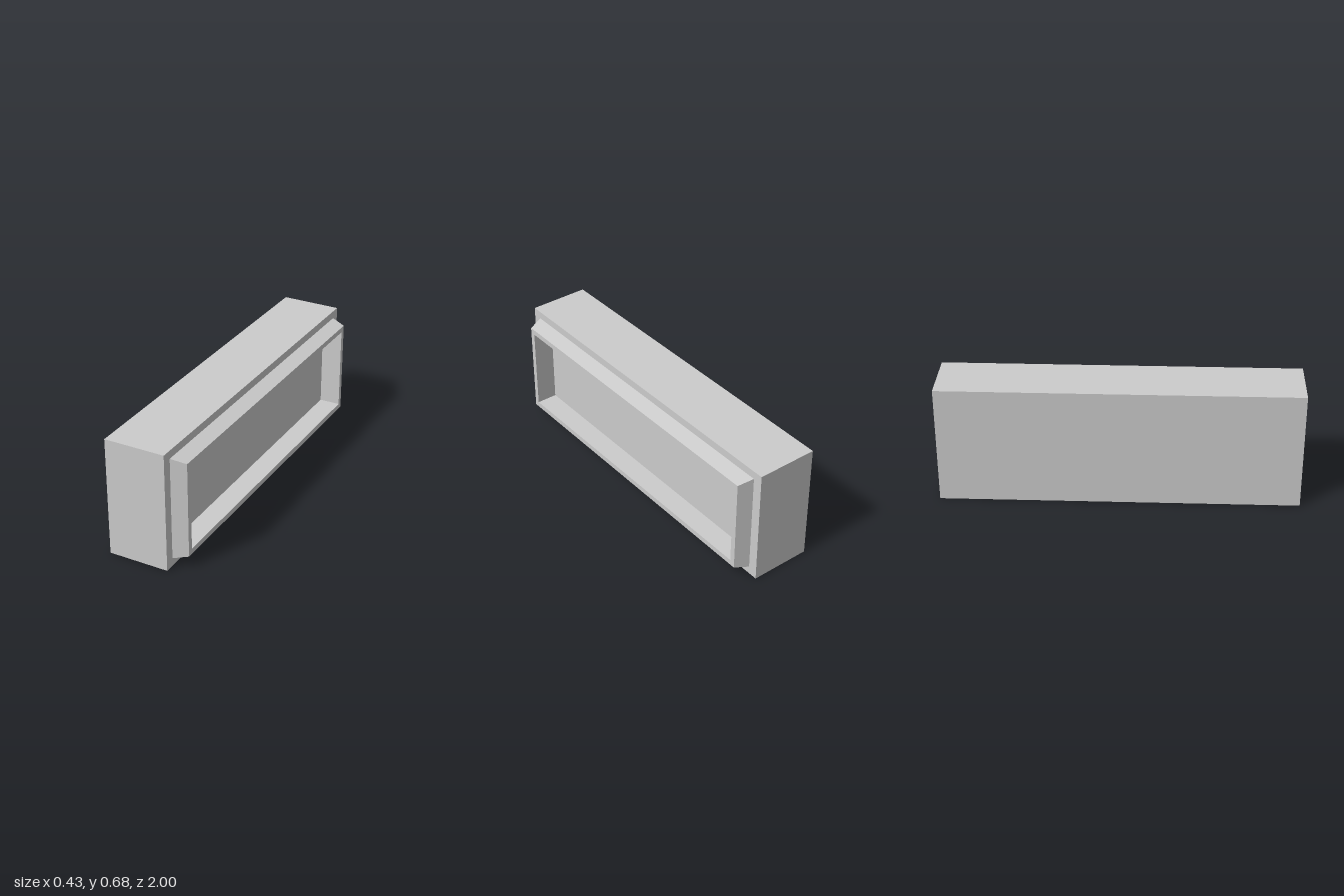
import * as THREE from 'three';

const CENTER_Y = 0.338;

// Corners of a rectangle facing +x, counter-clockwise seen from +x
function corners([x, halfY, halfZ]) {
  return [[-1, 1], [-1, -1], [1, -1], [1, 1]].map(
    ([sy, sz]) => [x, CENTER_Y + sy * halfY, sz * halfZ]);
}

// Joins successive rectangles [x, halfY, halfZ], with an optional cap at each end
function rectLoft(name, sections, capStart, capEnd) {
  const loops = sections.map(corners);
  const pos = [];
  const quad = (a, b, c, d) => pos.push(...a, ...b, ...c, ...a, ...c, ...d);
  for (let k = 0; k < loops.length - 1; k++) {
    const a = loops[k], b = loops[k + 1];
    for (let i = 0; i < 4; i++) {
      const j = (i + 1) % 4;
      quad(a[i], a[j], b[j], b[i]);
    }
  }
  if (capStart) quad(...loops[0].slice().reverse());
  if (capEnd) quad(...loops[loops.length - 1]);
  const geometry = new THREE.BufferGeometry();
  geometry.setAttribute('position', new THREE.Float32BufferAttribute(pos, 3));
  geometry.computeVertexNormals();
  const mesh = new THREE.Mesh(geometry,
    new THREE.MeshStandardMaterial({ color: 0xcccccc, flatShading: true }));
  mesh.name = name;
  return mesh;
}

export function createModel() {
  const group = new THREE.Group();
  group.name = 'framedBox';

  const frameBase = [0.13, 0.293, 0.946];
  const opening = [0.213, 0.241, 0.89];
  const floor = [0.092, 0.241, 0.89];

  // Main block, closed at the back, with a ledge around the frame
  group.add(rectLoft('housing',
    [[-0.213, 0.338, 1], [0.13, 0.338, 1], frameBase], true, false));

  // Raised frame with sloping outer sides and a flat rim
  group.add(rectLoft('frame', [frameBase, [0.213, 0.272, 0.92], opening], false, false));

  // Straight-walled recess, sunk a little into the block
  group.add(rectLoft('recess', [opening, floor], false, true));

  return group;
}
